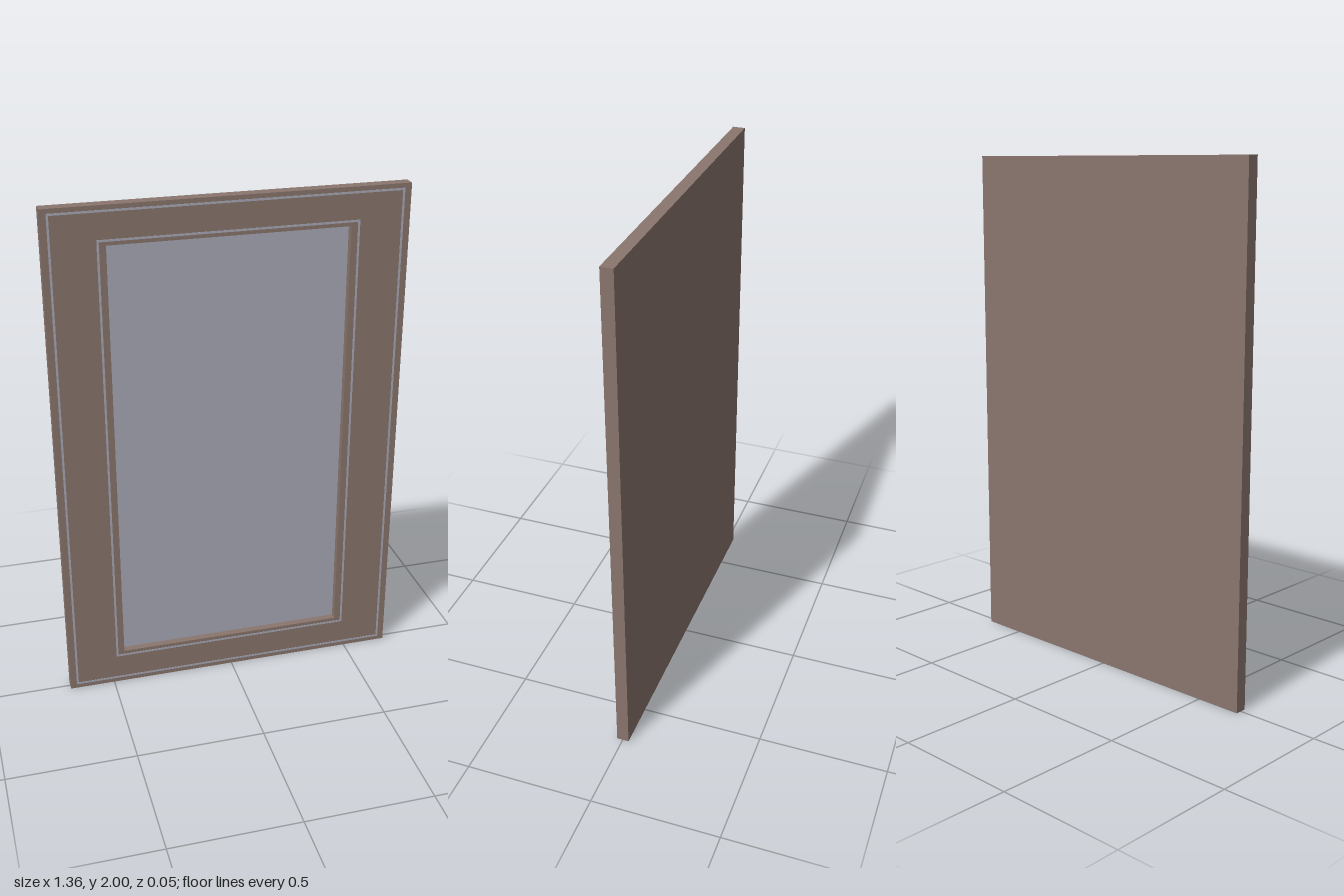
import * as THREE from 'three';

const CENTRE_Y = 1;
const BACK = -0.024;
const FRONT = 0.023;

// Rectangular ring centred on the model, extruded from z0 to z1
function ring(name, outerX, outerY, innerX, innerY, z0, z1, material) {
  const trace = (path, x, y) =>
    path.moveTo(-x, -y).lineTo(x, -y).lineTo(x, y).lineTo(-x, y).closePath();
  const shape = new THREE.Shape();
  trace(shape, outerX, outerY);
  const hole = new THREE.Path();
  trace(hole, innerX, innerY);
  shape.holes.push(hole);
  const geometry = new THREE.ExtrudeGeometry(shape, { depth: z1 - z0, bevelEnabled: false });
  const mesh = new THREE.Mesh(geometry, material);
  mesh.name = name;
  mesh.position.set(0, CENTRE_Y, z0);
  return mesh;
}

// Solid slab centred on the model, from z0 to z1
function slab(name, halfX, halfY, z0, z1, material) {
  const mesh = new THREE.Mesh(new THREE.BoxGeometry(2 * halfX, 2 * halfY, z1 - z0), material);
  mesh.name = name;
  mesh.position.set(0, CENTRE_Y, (z0 + z1) / 2);
  return mesh;
}

export function createModel() {
  const group = new THREE.Group();
  group.name = 'framedPanel';
  const wood = new THREE.MeshStandardMaterial({ color: 0x8a766e });
  const pale = new THREE.MeshStandardMaterial({ color: 0xaaabb9 });

  // Closed wooden back with the frame border standing in front of it
  group.add(slab('backBoard', 0.68, 1, BACK, -0.012, wood));
  group.add(ring('frame', 0.68, 1, 0.453, 0.855, -0.012, FRONT, wood));

  // Recessed pale panel filling the opening
  group.add(slab('panel', 0.453, 0.855, -0.012, -0.005, pale));

  // Fine inlay lines near the outer and inner edges of the border
  const line = 0.008;
  for (const [name, x, y] of [['outerInlay', 0.655, 0.983], ['innerInlay', 0.486, 0.877]]) {
    group.add(ring(name, x, y, x - line, y - line, FRONT - 0.003, FRONT + 0.001, pale));
  }
  return group;
}
